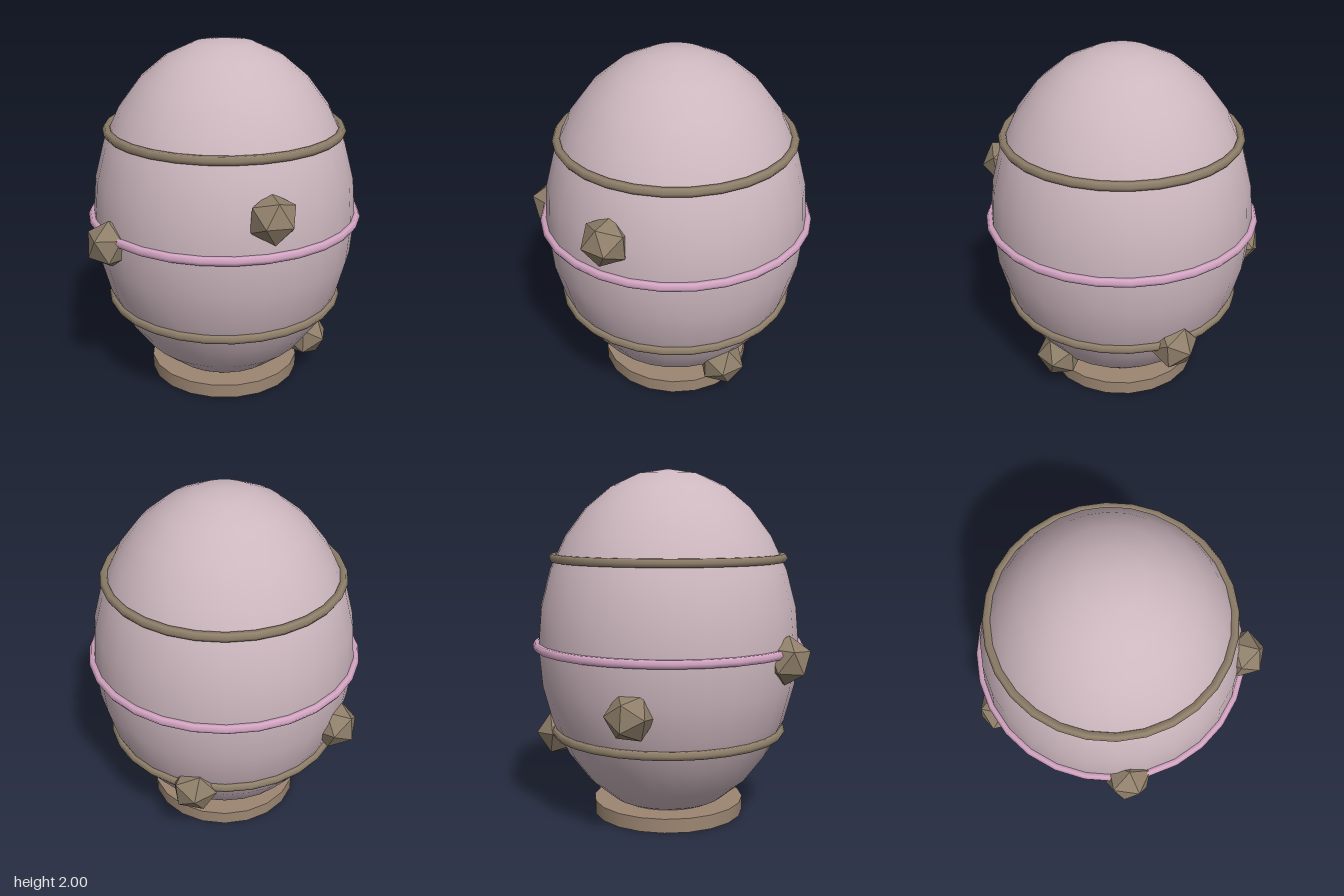
import * as THREE from 'three';

const material = (name, color) => {
  const m = new THREE.MeshStandardMaterial({ color });
  m.name = name;
  return m;
};

export function createModel() {
  const shellPink = material('dusty pink', 0xcdb7bf);
  const bandPink = material('bright pink', 0xd4a5c3);
  const bronze = material('bronze', 0x8f7f6a);
  const baseBrown = material('warm brown', 0x9c8672);
  const bronzeFacets = material('bronze facets', 0x8f7f6a);
  bronzeFacets.flatShading = true;

  const group = new THREE.Group();
  const add = (name, geometry, mat, x, y, z) => {
    const mesh = new THREE.Mesh(geometry, mat);
    mesh.name = name;
    mesh.position.set(x, y, z);
    group.add(mesh);
    return mesh;
  };

  // Egg-shaped body
  const R = 0.755;
  add('eggShell', new THREE.SphereGeometry(1, 28, 14).scale(R, 1, R), shellPink, 0, 1, 0);

  // Round foot
  add('base', new THREE.CylinderGeometry(0.44, 0.44, 0.08, 20), baseBrown, 0, 0.04, 0);

  // Horizontal bands
  const band = (name, radius, y, mat) =>
    add(name, new THREE.TorusGeometry(radius, 0.026, 6, 28).rotateX(Math.PI / 2), mat, 0, y, 0);
  band('lowerBand', 0.66, 0.5, bronze);
  band('middleBand', 0.76, 1, bandPink);
  band('upperBand', 0.66, 1.5, bronze);

  // Faceted studs spiralling up the shell
  const studGeometry = new THREE.IcosahedronGeometry(0.137, 0);
  for (let i = 0; i < 5; i++) {
    const y = 0.225 + i * 0.245;
    const r = R * Math.sqrt(1 - (y - 1) ** 2) + (i === 0 ? 0.015 : 0);
    const a = i * 1.3;
    const stud = add('stud' + (i + 1), studGeometry, bronzeFacets, r * Math.cos(a), y, -r * Math.sin(a));
    stud.rotation.set(0, i, i === 0 ? 0 : 0.55, 'ZYX');
  }

  return group;
}
